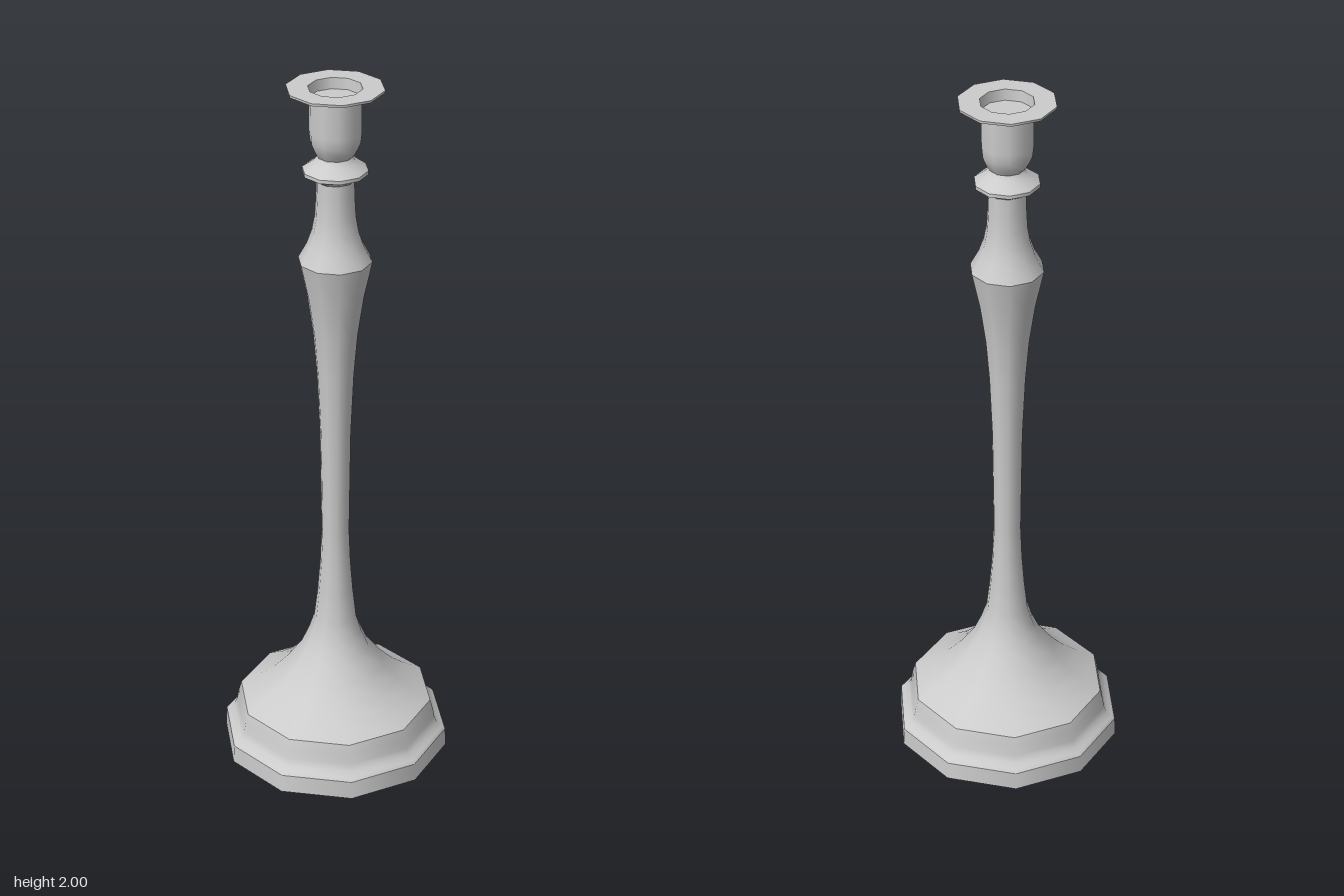
import * as THREE from 'three';

const material = new THREE.MeshStandardMaterial({ color: 0xcccccc });

// Ten-sided turned section; profile is [radius, height], smooth within the section
function turned(name, profile) {
  const points = profile.map(([r, y]) => new THREE.Vector2(r, y));
  const mesh = new THREE.Mesh(new THREE.LatheGeometry(points, 10, Math.PI / 2), material);
  mesh.name = name;
  return mesh;
}

export function createModel() {
  const group = new THREE.Group();
  group.name = 'candlestick';

  const sections = {
    // Stepped foot
    footUnderside: [[0, 0], [0.325, 0]],
    footBand: [[0.325, 0], [0.322, 0.053]],
    footStep: [[0.322, 0.053], [0.315, 0.062], [0.298, 0.072], [0.29, 0.092], [0.285, 0.12], [0.277, 0.148]],
    // Flared base sweeping up into the slender stem
    stem: [[0.277, 0.148], [0.225, 0.178], [0.18, 0.212], [0.14, 0.253], [0.097, 0.312], [0.076, 0.36],
      [0.06, 0.41], [0.05, 0.5], [0.043, 0.59], [0.039, 0.69], [0.041, 0.85], [0.043, 1.0],
      [0.051, 1.18], [0.061, 1.3], [0.077, 1.41], [0.1, 1.517]],
    // Shoulder and neck
    neck: [[0.1, 1.517], [0.077, 1.56], [0.063, 1.6], [0.055, 1.645], [0.052, 1.7], [0.051, 1.745]],
    // Collar ring
    collarUnderside: [[0.051, 1.745], [0.064, 1.755], [0.088, 1.766]],
    collarRim: [[0.088, 1.766], [0.088, 1.776]],
    collarTop: [[0.088, 1.776], [0.068, 1.79], [0.052, 1.803], [0.047, 1.812]],
    // Candle cup with drip plate and shallow socket
    cup: [[0.047, 1.812], [0.058, 1.83], [0.067, 1.852], [0.07, 1.88], [0.07, 1.984]],
    plateUnderside: [[0.07, 1.984], [0.11, 1.986], [0.129, 1.993]],
    plateRim: [[0.129, 1.993], [0.13, 2]],
    plateTop: [[0.13, 2], [0.072, 2]],
    socketWall: [[0.072, 2], [0.069, 1.97]],
    socketFloor: [[0.069, 1.97], [0, 1.97]],
  };
  for (const [name, profile] of Object.entries(sections)) group.add(turned(name, profile));
  return group;
}
